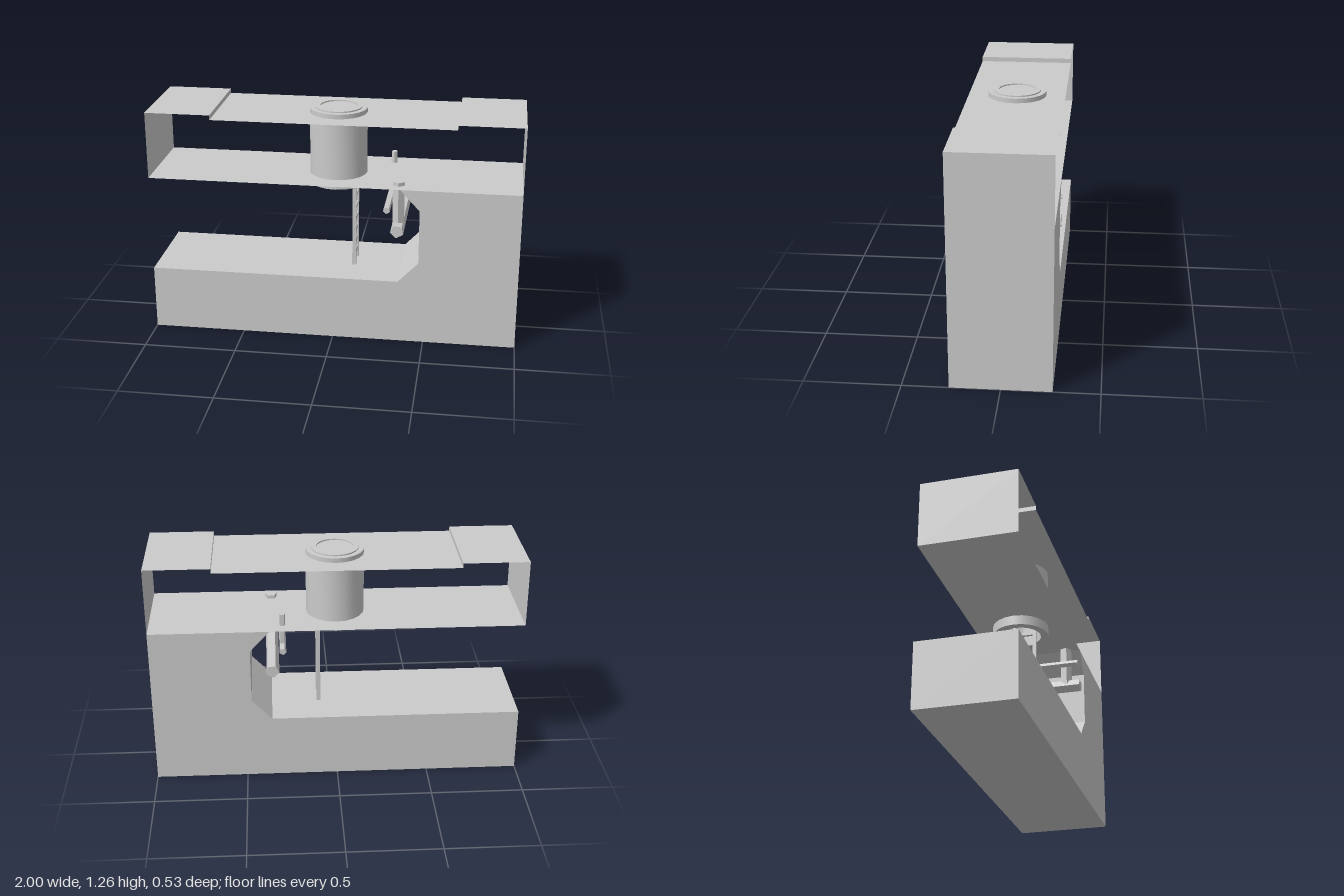
import * as THREE from 'three';
import { toCreasedNormals } from 'three/addons/utils/BufferGeometryUtils.js';

const solid = new THREE.MeshStandardMaterial({ color: 0xcccccc });
const flat = new THREE.MeshStandardMaterial({ color: 0xcccccc, flatShading: true });
const sheet = new THREE.MeshStandardMaterial({ color: 0xcccccc, side: THREE.DoubleSide });

const HALF_DEPTH = 0.26;
const BASE = 0.355, STREET = 0.885, ROAD = 1.225, KERB = 1.25;

export function createModel() {
  const model = new THREE.Group();

  function add(parent, name, geometry, material, x = 0, y = 0, z = 0) {
    const mesh = new THREE.Mesh(geometry, material);
    mesh.name = name;
    mesh.position.set(x, y, z);
    parent.add(mesh);
    return mesh;
  }

  // Horizontal sheet from x0 to x1, optionally with a round shaft opening
  function level(name, x0, x1, y, hole) {
    const shape = new THREE.Shape([
      new THREE.Vector2(x0, -HALF_DEPTH), new THREE.Vector2(x1, -HALF_DEPTH),
      new THREE.Vector2(x1, HALF_DEPTH), new THREE.Vector2(x0, HALF_DEPTH),
    ]);
    if (hole) shape.holes.push(new THREE.Path().absarc(0, 0, 0.15, 0, Math.PI * 2, true));
    add(model, name, new THREE.ShapeGeometry(shape, 20).rotateX(-Math.PI / 2), sheet, 0, y, 0);
  }

  // Upright sheet across the depth, facing along x
  function upright(name, x, y0, y1) {
    const side = Math.sign(x);
    const g = new THREE.PlaneGeometry(2 * HALF_DEPTH, y1 - y0).rotateY(side * Math.PI / 2);
    add(model, name, g, sheet, x, (y0 + y1) / 2, 0);
  }

  // Ground block: long floor and high end wall with a chamfered recess
  const profile = [
    [-1, 0], [1, 0], [1, STREET], [0.36, STREET],
    [0.465, 0.77], [0.465, 0.47], [0.355, BASE], [-1, BASE],
  ].map(([x, y]) => new THREE.Vector2(x, y));
  const ground = new THREE.ExtrudeGeometry(new THREE.Shape(profile), {
    depth: 2 * HALF_DEPTH, bevelEnabled: false,
  }).translate(0, 0, -HALF_DEPTH);
  add(model, 'groundBlock', ground, solid);

  // Tunnel ceiling and the road surface above it
  level('tunnelCeiling', -1, 0.36, STREET, true);
  level('roadSurface', -0.65, 0.65, ROAD, true);

  // Raised pavements, kerbs and end walls, mirrored
  for (const s of [-1, 1]) {
    level('pavement', s < 0 ? -1 : 0.65, s < 0 ? -0.65 : 1, KERB, false);
    upright('kerb', s * 0.65, ROAD, KERB);
    upright('endWall', s, STREET, KERB);
  }

  // Access shaft: open below, closed on top by a cover with a raised ring
  const shaft = new THREE.LatheGeometry([
    [0, 1.235], [0.115, 1.235], [0.115, 0.83], [0.157, 0.83], [0.157, 1.25],
    [0.128, 1.25], [0.128, 1.257], [0.1, 1.257], [0.1, 1.25], [0, 1.25],
  ].map(([r, y]) => new THREE.Vector2(r, y)), 20);
  add(model, 'accessShaft', toCreasedNormals(shaft, 0.6), solid);

  // Ladder from the tunnel floor up into the shaft
  const ladder = new THREE.Group();
  ladder.name = 'ladder';
  model.add(ladder);
  const top = 1.15;
  for (const s of [-1, 1]) {
    add(ladder, 'ladderRail', new THREE.BoxGeometry(0.021, top - BASE, 0.02), solid,
      0.095, (top + BASE) / 2, s * 0.058);
  }
  for (let y = 0.42; y < top; y += 0.067) {
    add(ladder, 'ladderRung', new THREE.BoxGeometry(0.016, 0.018, 0.1), solid, 0.095, y, 0);
  }

  // Five-sided pipes: one run along the tunnel depth, one riser through the ceiling
  function pipe(name, x, y, r, topY, z) {
    const group = new THREE.Group();
    group.name = name;
    model.add(group);
    const run = new THREE.CylinderGeometry(r, r, 0.526, 5)
      .rotateY(THREE.MathUtils.degToRad(-8)).rotateX(Math.PI / 2);
    add(group, name + 'Run', run, flat, x, y, 0);
    add(group, name + 'Riser', new THREE.CylinderGeometry(r * 0.9, r * 0.9, topY - y, 5), flat,
      x, (topY + y) / 2, z);
  }
  pipe('drainPipe', 0.347, 0.648, 0.037, 0.905, 0.18);
  pipe('cablePipe', 0.29, 0.766, 0.019, 0.95, -0.18);

  return model;
}
